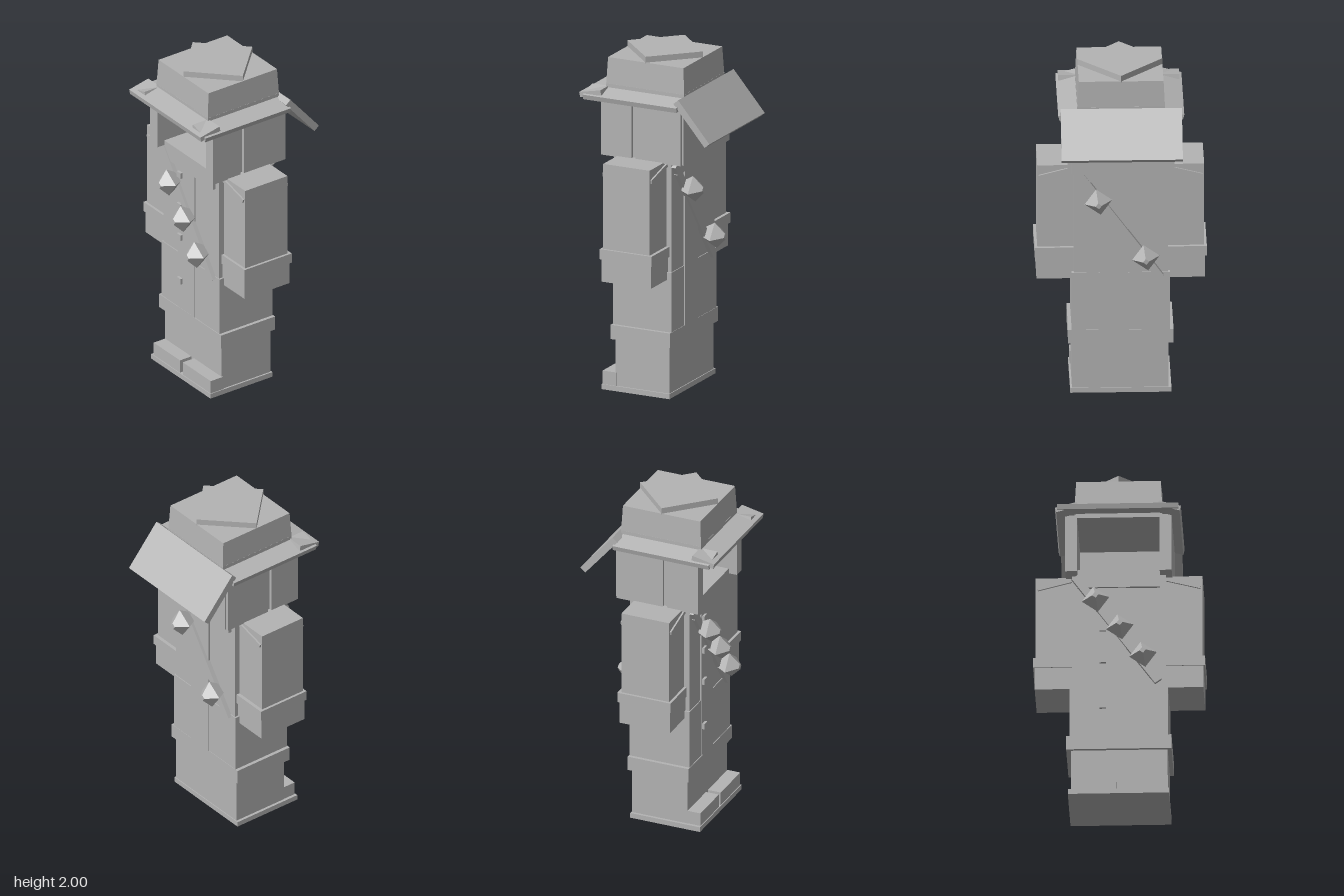
import * as THREE from 'three';

const grey = new THREE.MeshStandardMaterial({ color: 0xb4b4b4 });
grey.name = 'plain grey';
grey.flatShading = true;

export function createModel() {
  const model = new THREE.Group();
  model.name = 'uniformedFigure';
  const MID = 0.048; // depth of the body's central plane

  const add = (name, geometry, parent = model) => {
    const mesh = new THREE.Mesh(geometry, grey);
    mesh.name = name;
    parent.add(mesh);
    return mesh;
  };
  // Box given by its limits on each axis
  const box = (name, x0, x1, y0, y1, z0, z1, parent = model) => {
    const mesh = add(name, new THREE.BoxGeometry(x1 - x0, y1 - y0, z1 - z0), parent);
    mesh.position.set((x0 + x1) / 2, (y0 + y1) / 2, (z0 + z1) / 2);
    return mesh;
  };
  // Box drawn between two points in the xy plane
  const bar = (name, x0, y0, x1, y1, thick, z0, z1, parent = model) => {
    const mesh = add(name, new THREE.BoxGeometry(Math.hypot(x1 - x0, y1 - y0), thick, z1 - z0), parent);
    mesh.position.set((x0 + x1) / 2, (y0 + y1) / 2, (z0 + z1) / 2);
    mesh.rotation.z = Math.atan2(y1 - y0, x1 - x0);
    return mesh;
  };
  // Slab drawn between two points in the zy plane
  const slab = (name, z0, y0, z1, y1, thick, halfWidth) => {
    const mesh = add(name, new THREE.BoxGeometry(halfWidth * 2, thick, Math.hypot(z1 - z0, y1 - y0)));
    mesh.position.set(0, (y0 + y1) / 2, (z0 + z1) / 2);
    mesh.rotation.x = -Math.atan2(y1 - y0, z1 - z0);
    return mesh;
  };

  // Boots and coat
  box('sole', -0.288, 0.288, 0, 0.03, -0.13, 0.305);
  box('lowerLegs', -0.272, 0.278, 0.03, 0.32, -0.125, 0.22);
  box('leftToe', 0.012, 0.283, 0.03, 0.11, 0.21, 0.3);
  box('rightToe', -0.27, -0.015, 0.03, 0.11, 0.21, 0.3);
  box('hemBand', -0.3, 0.3, 0.31, 0.395, -0.14, 0.24);
  box('skirt', -0.28, 0.28, 0.39, 0.75, -0.138, 0.236);
  box('torso', -0.268, 0.268, 0.75, 1.4, -0.133, 0.231);
  box('collar', -0.235, 0.235, 1.32, 1.43, -0.155, 0.25);

  // Belt dressing, built for the front and turned round for the back
  for (const side of ['front', 'back']) {
    const g = new THREE.Group();
    g.name = side + 'Dressing';
    g.position.z = MID;
    if (side === 'back') g.rotation.y = Math.PI;
    model.add(g);
    box('placket', -0.12, 0.04, 0.395, 1.33, 0.17, 0.191, g);
    bar('sash', -0.25, 1.385, 0.225, 0.725, 0.045, 0.18, 0.208, g);
    const studs = side === 'front' ? [[-0.13, 1.22], [0.008, 1.045], [0.14, 0.87]] : [[-0.13, 1.22], [0.14, 0.87]];
    for (const [x, y] of studs) {
      const stud = new THREE.Group();
      stud.name = 'stud';
      stud.position.set(x, y, 0.255);
      stud.rotation.set(Math.PI / 2, 0.17, 0);
      g.add(stud);
      add('studTip', new THREE.CylinderGeometry(0.018, 0.08, 0.06, 4), stud).position.y = 0.03;
      add('studBase', new THREE.CylinderGeometry(0.08, 0.045, 0.06, 4), stud).position.y = -0.03;
    }
  }
  for (const y of [0.58, 0.865, 1.065, 1.27]) box('button', -0.11, -0.073, y - 0.018, y + 0.018, 0.23, 0.254);

  // Arms, sides of the head and sloping side brims
  for (const s of [-1, 1]) {
    const sideBox = (name, x0, x1, ...rest) => box(name, Math.min(s * x0, s * x1), Math.max(s * x0, s * x1), ...rest);
    sideBox('sleeve', 0.265, 0.475, 0.88, 1.405, -0.1, 0.197);
    sideBox('cuff', 0.265, 0.49, 0.84, 0.9, -0.12, 0.212);
    sideBox('hand', 0.265, 0.48, 0.705, 0.85, -0.11, 0.205);
    bar('frontShoulderSeam', s * 0.27, 1.385, s * 0.465, 1.335, 0.022, 0.19, 0.207);
    bar('backShoulderSeam', s * 0.27, 1.385, s * 0.465, 1.335, 0.022, -0.11, -0.095);

    sideBox('cheekGuard', 0.235, 0.303, 1.4, 1.75, 0.105, 0.3);
    sideBox('headSide', 0.235, 0.303, 1.4, 1.75, -0.21, 0.08);
    sideBox('headSeam', 0.235, 0.285, 1.4, 1.75, 0.075, 0.11);
    bar('sideBrim', s * 0.23, 1.778, s * 0.355, 1.744, 0.03, -0.21, 0.39);
  }
  box('headBack', -0.285, 0.285, 1.4, 1.75, -0.22, -0.17);

  // Cap
  slab('visor', 0.28, 1.78, 0.415, 1.752, 0.03, 0.345);
  slab('neckFlap', -0.2, 1.792, -0.4, 1.558, 0.04, 0.345);
  box('capBase', -0.25, 0.25, 1.735, 1.81, -0.205, 0.295);
  const crownShape = new THREE.BoxGeometry(0.5, 0.17, 0.5);
  const p = crownShape.attributes.position;
  for (let i = 0; i < p.count; i++) {
    if (p.getY(i) > 0) p.setXYZ(i, p.getX(i) * 0.965, p.getY(i), p.getZ(i) * 0.965);
  }
  crownShape.computeVertexNormals();
  add('crown', crownShape).position.set(0, 1.88, 0.045);
  const topPlate = add('topPlate', new THREE.BoxGeometry(0.343, 0.04, 0.343));
  topPlate.position.set(0, 1.98, 0.045);
  topPlate.rotation.y = Math.PI / 4;

  return model;
}
